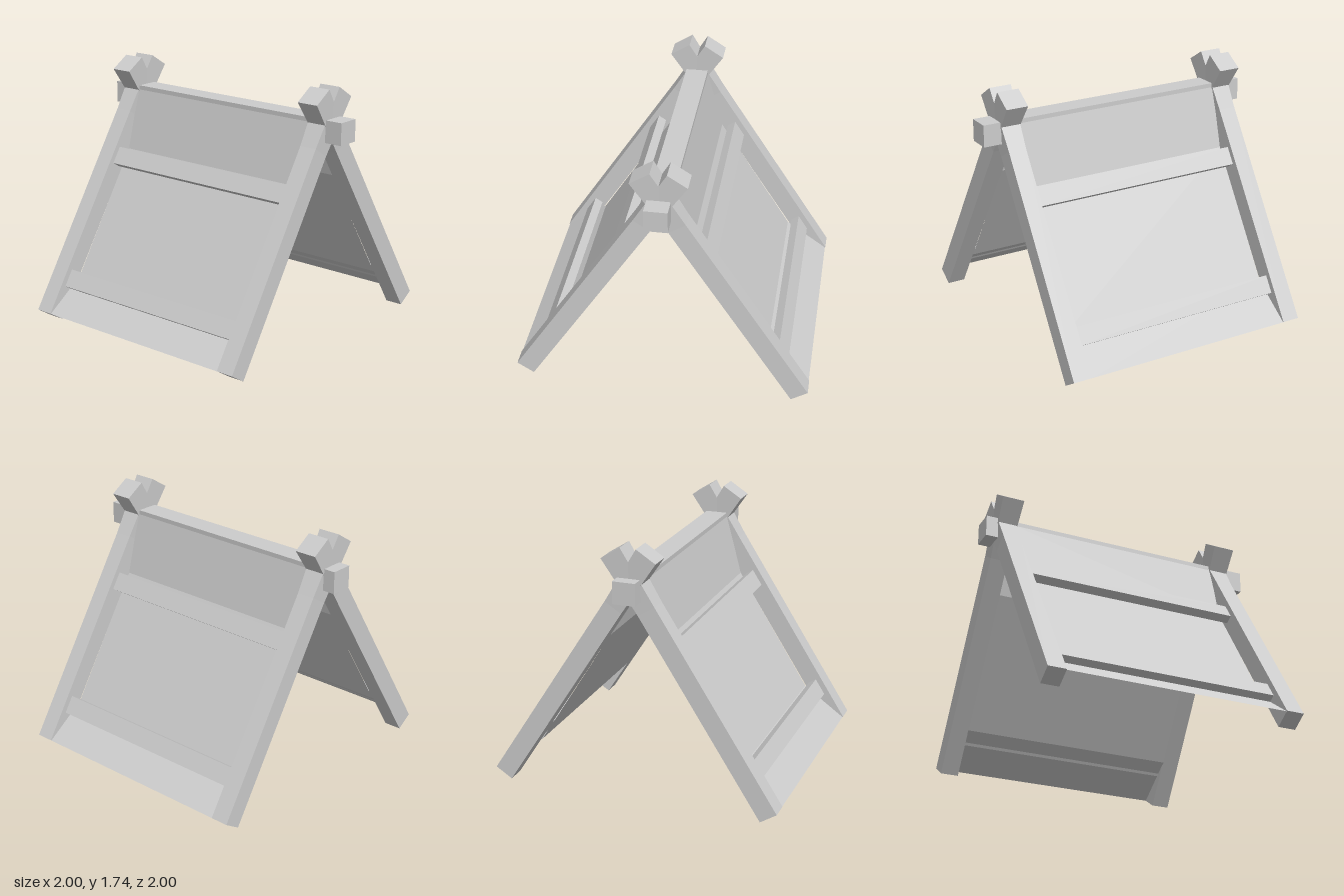
import * as THREE from 'three';

const FOOT = new THREE.Vector2(0.945, 0.0375);   // centre of the foot end
const TIP = new THREE.Vector2(-0.12, 1.7025);    // centre of the crossed tip
const LEAN = Math.atan2(FOOT.x - TIP.x, TIP.y - FOOT.y);
const FRONT_Z = 0.8075, BACK_Z = -0.8475;

// Square pole, straight for most of its length and flared at the tip
function poleGeometry() {
  const length = FOOT.distanceTo(TIP);
  const g = new THREE.BoxGeometry(0.133, length, 0.125, 1, 2, 1);
  const p = g.attributes.position;
  for (let i = 0; i < p.count; i++) {
    const y = p.getY(i);
    if (Math.abs(y) < 0.01) p.setY(i, length * 0.28);
    else if (y > 0) {
      p.setX(i, p.getX(i) * 0.155 / 0.133);
      p.setZ(i, p.getZ(i) * 0.155 / 0.125);
    }
  }
  g.computeVertexNormals();
  return g;
}

// Folded sheet swept along z from a profile of [x, y] points
function sheetGeometry(profile, z0, z1) {
  const pos = [];
  for (let i = 0; i < profile.length - 1; i++) {
    const [ax, ay] = profile[i], [bx, by] = profile[i + 1];
    pos.push(ax, ay, z0, bx, by, z0, bx, by, z1);
    pos.push(ax, ay, z0, bx, by, z1, ax, ay, z1);
  }
  const g = new THREE.BufferGeometry();
  g.setAttribute('position', new THREE.Float32BufferAttribute(pos, 3));
  g.computeVertexNormals();
  return g;
}

export function createModel() {
  const model = new THREE.Group();
  model.name = 'ridgeTent';
  const grey = new THREE.MeshStandardMaterial({ color: 0xcccccc, flatShading: true, side: THREE.DoubleSide });
  grey.name = 'plain grey';

  const add = (name, geometry, x = 0, y = 0, z = 0, turn = 0) => {
    const mesh = new THREE.Mesh(geometry, grey);
    mesh.name = name;
    mesh.position.set(x, y, z);
    mesh.rotation.z = turn;
    model.add(mesh);
  };

  // Ridge beam
  add('ridgeBeam', new THREE.BoxGeometry(0.154, 0.15, 2), 0, 1.47, 0);

  const pole = poleGeometry();
  const batten = new THREE.BoxGeometry(0.062, 0.126, 1.56);
  const midZ = (FRONT_Z + BACK_Z) / 2;

  for (const [label, s] of [['left', 1], ['right', -1]]) {
    // Crossed poles at both ends
    for (const [end, z] of [['Front', FRONT_Z], ['Back', BACK_Z]]) {
      add(label + end + 'Pole', pole, s * (FOOT.x + TIP.x) / 2, (FOOT.y + TIP.y) / 2, z, s * LEAN);
    }
    // Cross battens between the poles
    add(label + 'UpperBatten', batten, s * 0.289, 1.061, midZ, s * LEAN);
    add(label + 'LowerBatten', batten, s * 0.791, 0.271, midZ, s * LEAN);
    // Cover, tucked inside the poles in the middle and folded outwards at the hem
    const profile = [[0.077, 1.515], [0.187, 1.1], [0.704, 0.278], [0.997, 0.07]];
    add(label + 'Cover', sheetGeometry(profile.map(([x, y]) => [s * x, y]), BACK_Z + 0.06, FRONT_Z - 0.06));
  }
  return model;
}
